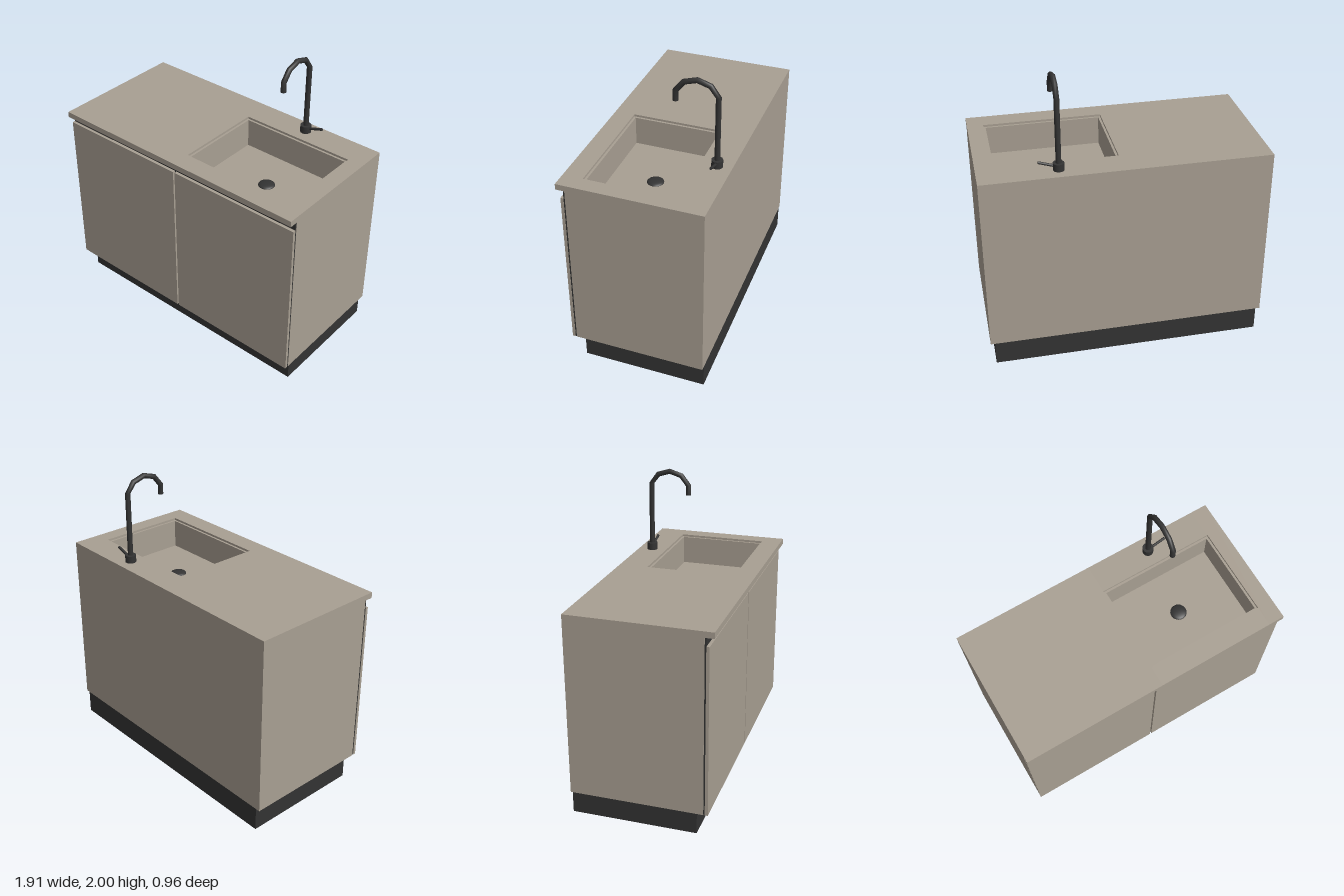
import * as THREE from 'three';

// Straight-segment path, one tube ring per corner
class Polyline extends THREE.Curve {
  constructor(points) { super(); this.points = points; }
  getPoint(t) {
    const n = this.points.length - 1;
    const i = Math.min(Math.floor(t * n + 1e-9), n - 1);
    return this.points[i].clone().lerp(this.points[i + 1], t * n - i);
  }
  getPointAt(t) { return this.getPoint(t); }
  getTangentAt(t) { return this.getTangent(t); }
}

export function createModel() {
  const model = new THREE.Group();
  model.name = 'sinkCabinet';
  const beige = new THREE.MeshStandardMaterial({ color: 0xa89f92 });
  beige.name = 'warmGrey';
  const dark = new THREE.MeshStandardMaterial({ color: 0x333333 });
  dark.name = 'charcoal';

  const add = (name, geometry, material, x = 0, y = 0, z = 0) => {
    const mesh = new THREE.Mesh(geometry, material);
    mesh.name = name;
    mesh.position.set(x, y, z);
    model.add(mesh);
    return mesh;
  };
  // Box given by its limits on each axis
  const box = (name, material, x0, x1, y0, y1, z0, z1) => add(name,
    new THREE.BoxGeometry(x1 - x0, y1 - y0, z1 - z0), material,
    (x0 + x1) / 2, (y0 + y1) / 2, (z0 + z1) / 2);

  // Cabinet: plinth, lower body, recessed front and two doors
  const W = 0.955, back = -0.475;
  box('plinth', dark, -0.925, 0.925, 0, 0.165, back, 0.37);
  box('lowerBody', beige, -W, W, 0.165, 1.115, back, 0.42);
  box('frontRecess', dark, -W + 0.002, W - 0.002, 0.167, 1.365, 0.42, 0.43);
  box('rightDoor', beige, -W, -0.006, 0.165, 1.31, 0.43, 0.45);
  box('leftDoor', beige, 0.006, W, 0.165, 1.31, 0.43, 0.45);

  // Upper body and worktop, each four pieces around the sink opening
  const sx0 = 0.03, sx1 = 0.845, sz0 = -0.275, sz1 = 0.345;
  const surround = (name, y0, y1, front) => {
    box(name + 'Right', beige, -W, sx0, y0, y1, back, front);
    box(name + 'Left', beige, sx1, W, y0, y1, back, front);
    box(name + 'Back', beige, sx0, sx1, y0, y1, back, sz0);
    box(name + 'Front', beige, sx0, sx1, y0, y1, sz1, front);
  };
  surround('upperBody', 1.115, 1.365, 0.42);
  surround('worktop', 1.365, 1.405, 0.48);

  // Sink basin with a thin lip just below the worktop
  const t = 0.015, floor = 1.19, lip = 1.39;
  box('basinFloor', beige, sx0, sx1, 1.115, floor, sz0, sz1);
  box('basinWallRight', beige, sx0, sx0 + t, floor, lip, sz0, sz1);
  box('basinWallLeft', beige, sx1 - t, sx1, floor, lip, sz0, sz1);
  box('basinWallBack', beige, sx0 + t, sx1 - t, floor, lip, sz0, sz0 + t);
  box('basinWallFront', beige, sx0 + t, sx1 - t, floor, lip, sz1 - t, sz1);

  // Drain: shallow dome
  const fx = 0.437, fz = -0.378;
  add('drain', new THREE.SphereGeometry(0.056, 24, 8, 0, Math.PI * 2, 0, Math.PI / 2),
    dark, fx, floor, 0.035).scale.y = 0.3;

  // Tap: base, bent spout and lever
  add('tapBase', new THREE.CylinderGeometry(0.037, 0.037, 0.05, 20), dark, fx, 1.43, fz);
  const path = [[1.44, fz], [1.89, fz], [1.957, -0.328], [1.983, -0.243],
    [1.957, -0.158], [1.89, -0.105], [1.823, -0.105]]
    .map(([y, z]) => new THREE.Vector3(fx, y, z));
  add('tapSpout', new THREE.TubeGeometry(new Polyline(path), path.length - 1, 0.018, 12), dark);
  add('spoutEnd', new THREE.CircleGeometry(0.018, 12), dark, fx, 1.823, -0.105)
    .rotation.x = Math.PI / 2;
  const lever = add('tapLever', new THREE.CylinderGeometry(0.009, 0.009, 0.125, 10),
    dark, 0.507, 1.45, fz);
  lever.rotation.z = -Math.PI / 2 + 0.31;

  return model;
}
